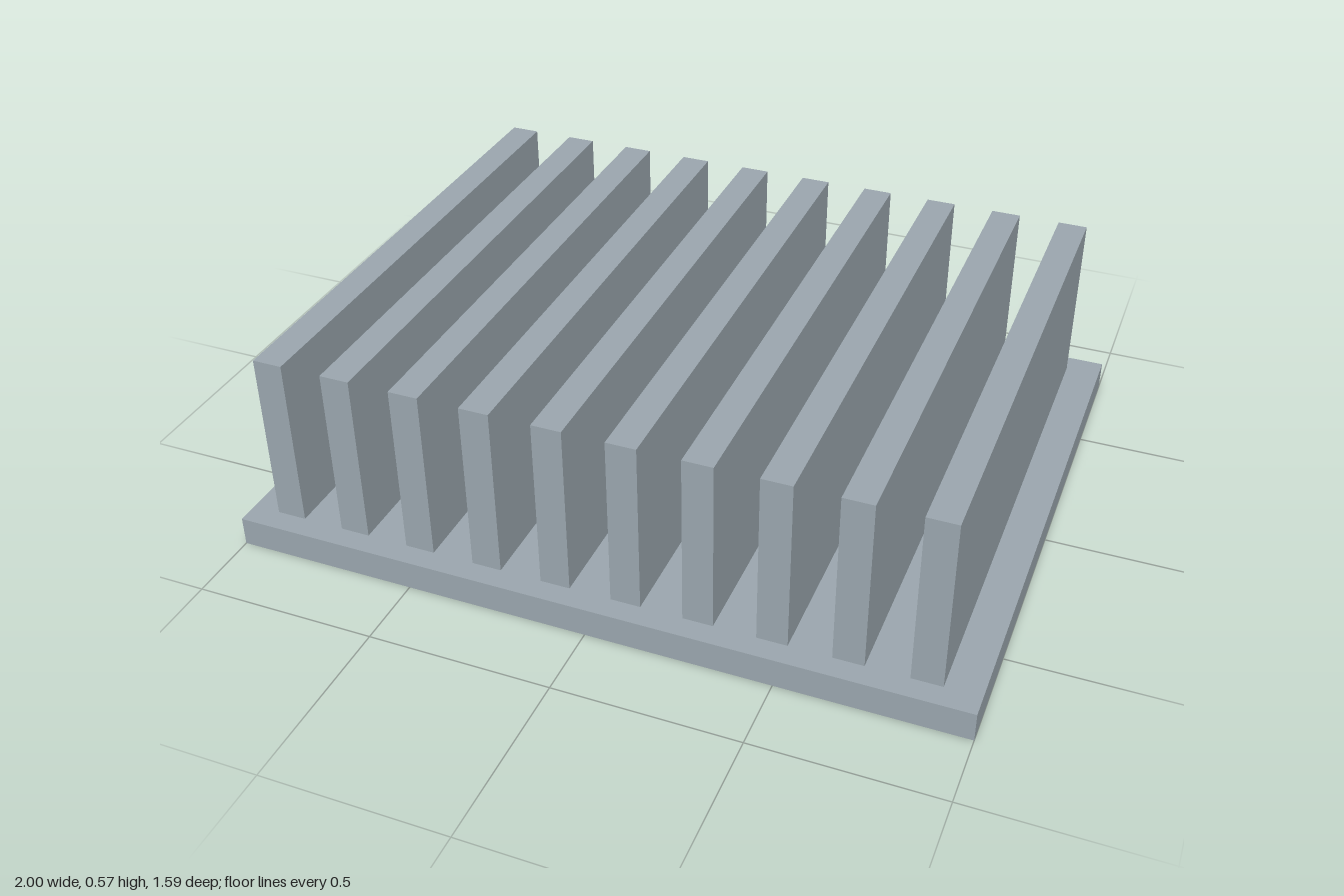
import * as THREE from 'three';

export function createModel() {
  const model = new THREE.Group();
  model.name = 'heatSink';
  const aluminium = new THREE.MeshStandardMaterial({ color: 0x9aa5ad });
  aluminium.name = 'aluminium grey';

  const baseHeight = 0.082, finHeight = 0.484, finWidth = 0.081;

  // Flat base plate
  const base = new THREE.Mesh(new THREE.BoxGeometry(2, baseHeight, 1.594), aluminium);
  base.name = 'basePlate';
  base.position.y = baseHeight / 2;
  model.add(base);

  // Row of ten upright cooling fins, set slightly off centre
  const finCount = 10, firstX = -0.884, pitch = 0.1942;
  const finGeometry = new THREE.BoxGeometry(finWidth, finHeight, 1.47);
  for (let i = 0; i < finCount; i++) {
    const fin = new THREE.Mesh(finGeometry, aluminium);
    fin.name = `coolingFin${i + 1}`;
    fin.position.set(firstX + i * pitch, baseHeight + finHeight / 2, 0);
    model.add(fin);
  }
  return model;
}
